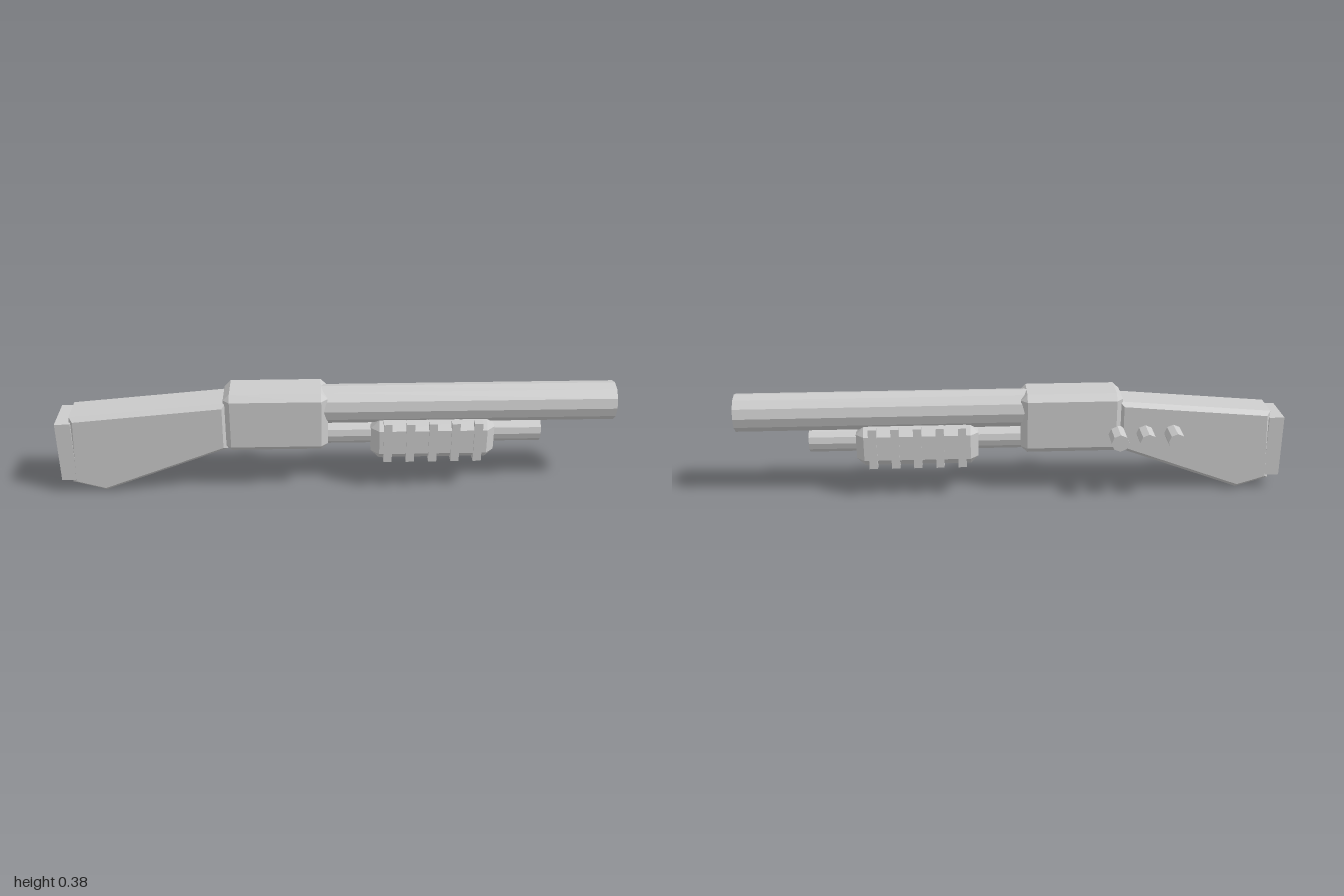
import * as THREE from 'three';
import { ConvexGeometry } from 'three/addons/geometries/ConvexGeometry.js';

const CZ = 0.038; // depth of the centre line

// Box with every edge cut at 45 degrees
function chamferBox(w, h, d, c) {
  const points = [];
  for (const x of [-1, 1]) for (const y of [-1, 1]) for (const z of [-1, 1]) {
    const [a, b, e] = [x * w / 2, y * h / 2, z * d / 2];
    points.push(
      new THREE.Vector3(a, b - y * c, e - z * c),
      new THREE.Vector3(a - x * c, b, e - z * c),
      new THREE.Vector3(a - x * c, b - y * c, e)
    );
  }
  return new ConvexGeometry(points);
}

export function createModel() {
  const model = new THREE.Group();
  const grey = new THREE.MeshStandardMaterial({ color: 0xcccccc, flatShading: true });
  grey.name = 'grey';

  const add = (name, geometry, x, y, z) => {
    const mesh = new THREE.Mesh(geometry, grey);
    mesh.name = name;
    mesh.position.set(x, y, z);
    model.add(mesh);
    return mesh;
  };

  // Cylinder lying along x from x0 to x1
  const rod = (name, r, x0, x1, y) => {
    const geometry = new THREE.CylinderGeometry(r, r, x1 - x0, 12).rotateZ(Math.PI / 2);
    add(name, geometry, (x0 + x1) / 2, y, CZ);
  };

  // Receiver, barrel and lower tube
  add('receiver', chamferBox(0.37, 0.225, 0.159, 0.023), -0.218, 0.2725, CZ);
  rod('barrel', 0.07, -0.06, 1, 0.315);
  rod('lowerTube', 0.046, -0.06, 0.74, 0.204);

  // Sliding grip with square ribs
  add('grip', chamferBox(0.445, 0.15, 0.167, 0.029), 0.345, 0.195, CZ);
  for (let i = 0; i < 5; i++) {
    add('gripRib', new THREE.BoxGeometry(0.03, 0.153, 0.177), 0.182 + i * 0.081, 0.1945, CZ);
  }

  // Stock: bevelled outline
  const outline = new THREE.Shape([
    [-0.965, 0.036], [-0.845, 0], [-0.393, 0.168], [-0.393, 0.352], [-0.95, 0.304]
  ].map(([x, y]) => new THREE.Vector2(x, y)));
  const stock = new THREE.ExtrudeGeometry(outline, {
    depth: 0.112, bevelEnabled: true, bevelSegments: 1,
    bevelThickness: 0.018, bevelSize: 0.015, bevelOffset: -0.015
  });
  add('stock', stock, 0, 0, CZ - 0.056);
  add('buttPad', new THREE.BoxGeometry(0.055, 0.23, 0.147), -0.9725, 0.168, CZ);

  // Spare rounds on the far side
  for (const x of [-0.59, -0.487, -0.384]) {
    const round = new THREE.CylinderGeometry(0.032, 0.032, 0.105, 8).rotateX(Math.PI / 2);
    add('spareRound', round, x, 0.232, -0.0725);
  }
  return model;
}
